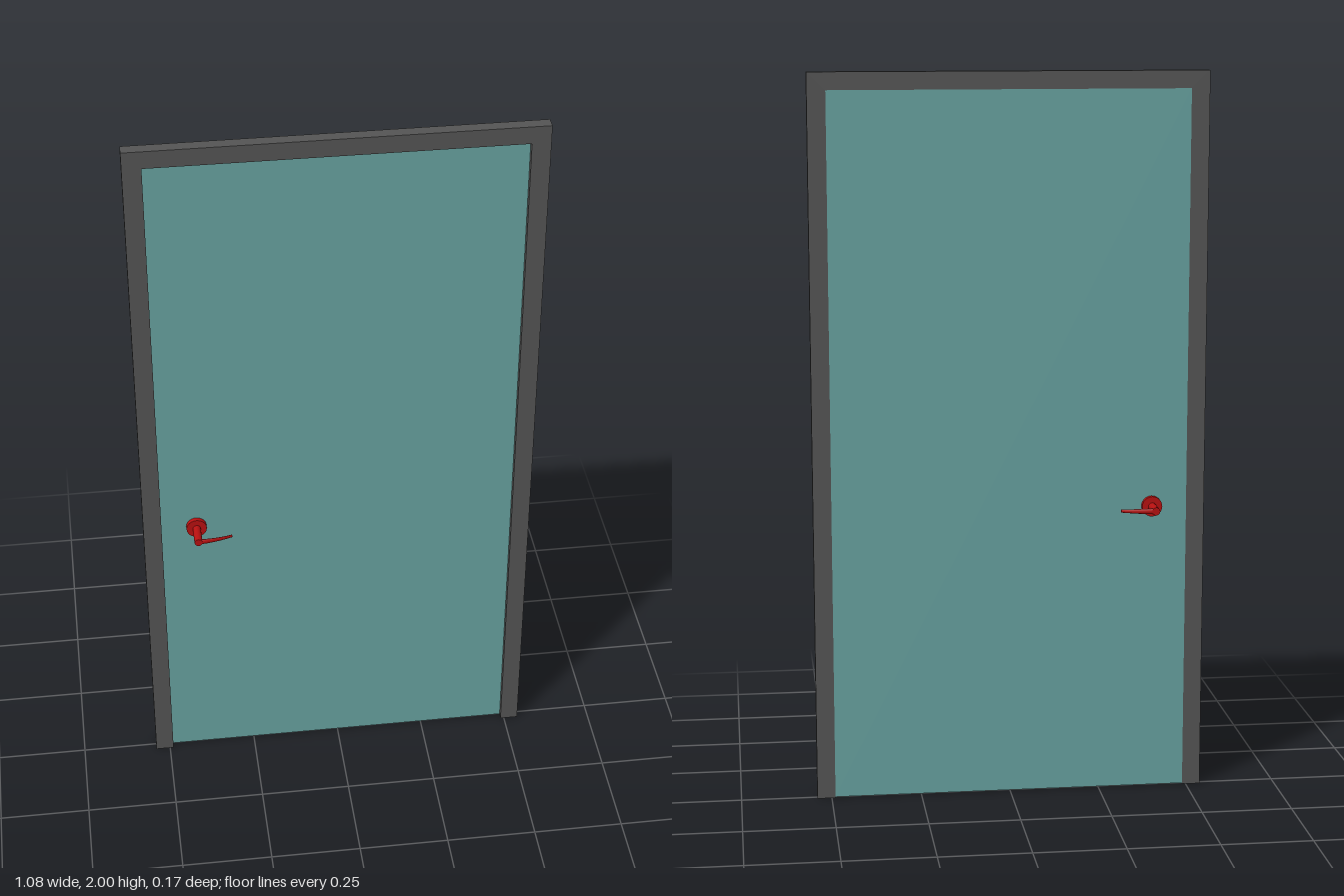
import * as THREE from 'three';

const frameMat = new THREE.MeshStandardMaterial({ color: 0x555555 });
const panelMat = new THREE.MeshStandardMaterial({ color: 0x68a3a1 });
const handleMat = new THREE.MeshStandardMaterial({ color: 0xb91010 });

function add(parent, name, geometry, material) {
  const mesh = new THREE.Mesh(geometry, material);
  mesh.name = name;
  parent.add(mesh);
  return mesh;
}

// Curved lever: oval sections that taper from the spindle to a thin tip
function leverGeometry() {
  const rings = 8, sides = 12;
  const geo = new THREE.CylinderGeometry(1, 1, 1, sides, rings);
  const p = geo.attributes.position;
  for (let i = 0; i < p.count; i++) {
    const t = p.getY(i) + 0.5;
    const halfDepth = 0.004 - 0.0028 * t;
    const halfHeight = 0.0085 - 0.004 * t;
    const centre = 0.081 - 0.015 * t * t;
    p.setXYZ(i, 0.094 * t, -halfHeight * p.getX(i), centre + halfDepth * p.getZ(i));
  }
  geo.computeVertexNormals();
  return geo;
}

export function createModel() {
  const model = new THREE.Group();
  model.name = 'door';

  // Frame: two jambs and a head in one U-shaped extrusion
  const outline = new THREE.Shape([
    [-0.54, 0], [-0.49, 0], [-0.49, 1.952], [0.49, 1.952],
    [0.49, 0], [0.54, 0], [0.54, 2], [-0.54, 2],
  ].map(([x, y]) => new THREE.Vector2(x, y)));
  const frame = new THREE.ExtrudeGeometry(outline, { depth: 0.034, bevelEnabled: false });
  add(model, 'frame', frame.translate(0, 0, -0.012), frameMat);

  // Panel: flush with the back of the frame, recessed at the front
  const panel = new THREE.BoxGeometry(0.98, 1.949, 0.018);
  add(model, 'panel', panel.translate(0, 0.9775, -0.003), panelMat);

  // The same handle on both faces
  const lever = leverGeometry();
  for (const side of ['front', 'back']) {
    const handle = new THREE.Group();
    handle.name = side + 'Handle';
    handle.position.set(-0.393, 0.81, -0.003);
    if (side === 'back') handle.rotation.x = Math.PI;
    add(handle, 'rosette', new THREE.CylinderGeometry(0.028, 0.028, 0.022, 24)
      .rotateX(Math.PI / 2).translate(0, 0, 0.011), handleMat);
    add(handle, 'spindle', new THREE.CylinderGeometry(0.011, 0.011, 0.085, 16)
      .rotateX(Math.PI / 2).translate(0, 0, 0.0425), handleMat);
    add(handle, 'lever', lever, handleMat);
    model.add(handle);
  }
  return model;
}
